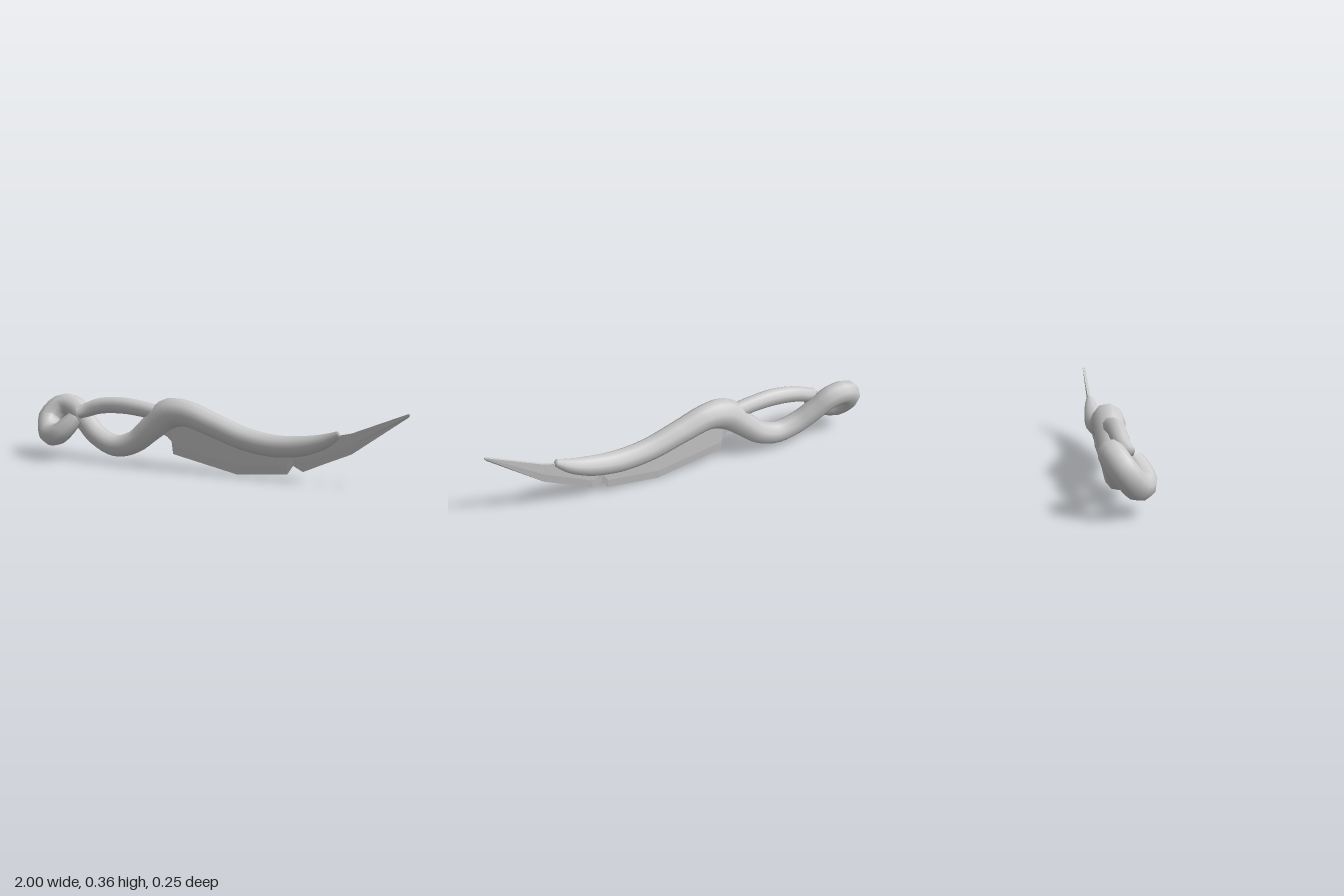
import * as THREE from 'three';

const Z = -0.008; // plane of the blade
const material = new THREE.MeshStandardMaterial({ color: 0xcccccc });

// Tube through [x, y, z, radius] points, closed at both ends
function taperedTube(name, pts, segments, sides) {
  const curve = new THREE.CatmullRomCurve3(pts.map(p => new THREE.Vector3(p[0], p[1], p[2])));
  const geo = new THREE.TubeGeometry(curve, segments, 1, sides, false);
  const pos = geo.attributes.position, nor = geo.attributes.normal;
  const v = new THREE.Vector3();
  const radiusAt = u => {
    const t = curve.getUtoTmapping(u) * (pts.length - 1);
    const i = Math.min(Math.floor(t), pts.length - 2);
    return THREE.MathUtils.lerp(pts[i][3], pts[i + 1][3], t - i);
  };
  for (let i = 0; i <= segments; i++) {
    const end = i === 0 || i === segments;
    // the end rings collapse onto the neighbouring ring's centre line as caps
    const u = i / segments;
    const centre = curve.getPointAt(u);
    const tangent = curve.getTangentAt(u).multiplyScalar(i === 0 ? -1 : 1);
    const r = end ? 0.0001 : radiusAt(u);
    const shift = end ? tangent.clone().multiplyScalar(-0.7 * curve.getLength() / segments) : null;
    for (let j = 0; j <= sides; j++) {
      const k = i * (sides + 1) + j;
      v.fromBufferAttribute(nor, k).multiplyScalar(r).add(centre);
      if (shift) v.add(shift);
      pos.setXYZ(k, v.x, v.y, v.z);
      if (end) nor.setXYZ(k, tangent.x, tangent.y, tangent.z);
    }
  }
  const mesh = new THREE.Mesh(geo, material);
  mesh.name = name;
  return mesh;
}

// Thin blade lofted from [x, spine y, edge y] stations, bevelled to a sharp edge
function blade(stations) {
  const half = 0.007;
  const rings = stations.map(([x, top, bottom]) => {
    const bevel = bottom + Math.min(0.045, (top - bottom) * 0.5);
    return [[x, top, Z + half], [x, bevel, Z + half * 0.85], [x, bottom, Z],
      [x, bevel, Z - half * 0.85], [x, top, Z - half]];
  });
  const out = [];
  const tri = (a, b, c) => out.push(...a, ...b, ...c);
  for (let i = 0; i < rings.length - 1; i++) {
    const a = rings[i], b = rings[i + 1];
    for (let j = 0; j < 5; j++) {
      const k = (j + 1) % 5;
      tri(a[j], a[k], b[k]);
      tri(a[j], b[k], b[j]);
    }
  }
  const first = rings[0], last = rings[rings.length - 1];
  for (let j = 1; j < 4; j++) {
    tri(first[0], first[j + 1], first[j]);
    tri(last[0], last[j], last[j + 1]);
  }
  const geo = new THREE.BufferGeometry();
  geo.setAttribute('position', new THREE.Float32BufferAttribute(out, 3));
  geo.computeVertexNormals();
  const mesh = new THREE.Mesh(geo, material);
  mesh.name = 'blade';
  return mesh;
}

export function createModel() {
  const group = new THREE.Group();
  group.name = 'twistedSword';

  // Spine, guard bulge, lower grip and the looped pommel in one strand
  group.add(taperedTube('spineAndPommelLoop', [
    [0.69, 0.255, Z, 0.012], [0.6, 0.205, Z, 0.036], [0.49, 0.173, Z, 0.05],
    [0.35, 0.16, Z, 0.055], [0.19, 0.18, Z, 0.057], [0.02, 0.235, Z, 0.06],
    [-0.13, 0.282, Z, 0.066], [-0.22, 0.275, Z, 0.08], [-0.32, 0.195, Z, 0.066],
    [-0.42, 0.115, Z, 0.058], [-0.53, 0.085, Z, 0.056], [-0.64, 0.12, -0.02, 0.055],
    [-0.73, 0.19, -0.045, 0.055], [-0.8, 0.25, -0.066, 0.058], [-0.88, 0.264, -0.07, 0.06],
    [-0.938, 0.2, -0.025, 0.062], [-0.9, 0.13, 0.035, 0.061], [-0.83, 0.135, 0.072, 0.056],
    [-0.775, 0.185, 0.055, 0.05], [-0.735, 0.24, 0.02, 0.036],
  ], 72, 9));

  // Thinner upper grip strand between pommel and guard
  group.add(taperedTube('upperGrip', [
    [-0.76, 0.235, 0.025, 0.03], [-0.7, 0.258, 0.0, 0.037], [-0.62, 0.285, Z, 0.041],
    [-0.5, 0.297, Z, 0.043], [-0.38, 0.288, Z, 0.041], [-0.25, 0.265, Z, 0.041],
  ], 24, 9));

  // Notched blade under the spine
  group.add(blade([
    [-0.27, 0.24, 0.17], [-0.235, 0.27, 0.155], [-0.212, 0.27, 0.135], [-0.203, 0.27, 0.07],
    [0.145, 0.2, 0.0], [0.41, 0.165, 0.025], [0.44, 0.165, 0.07], [0.49, 0.175, 0.045],
    [0.6, 0.21, 0.095], [0.68, 0.24, 0.13], [0.73, 0.252, 0.152], [0.99, 0.361, 0.342], [1.0, 0.362, 0.352],
  ]));
  return group;
}
